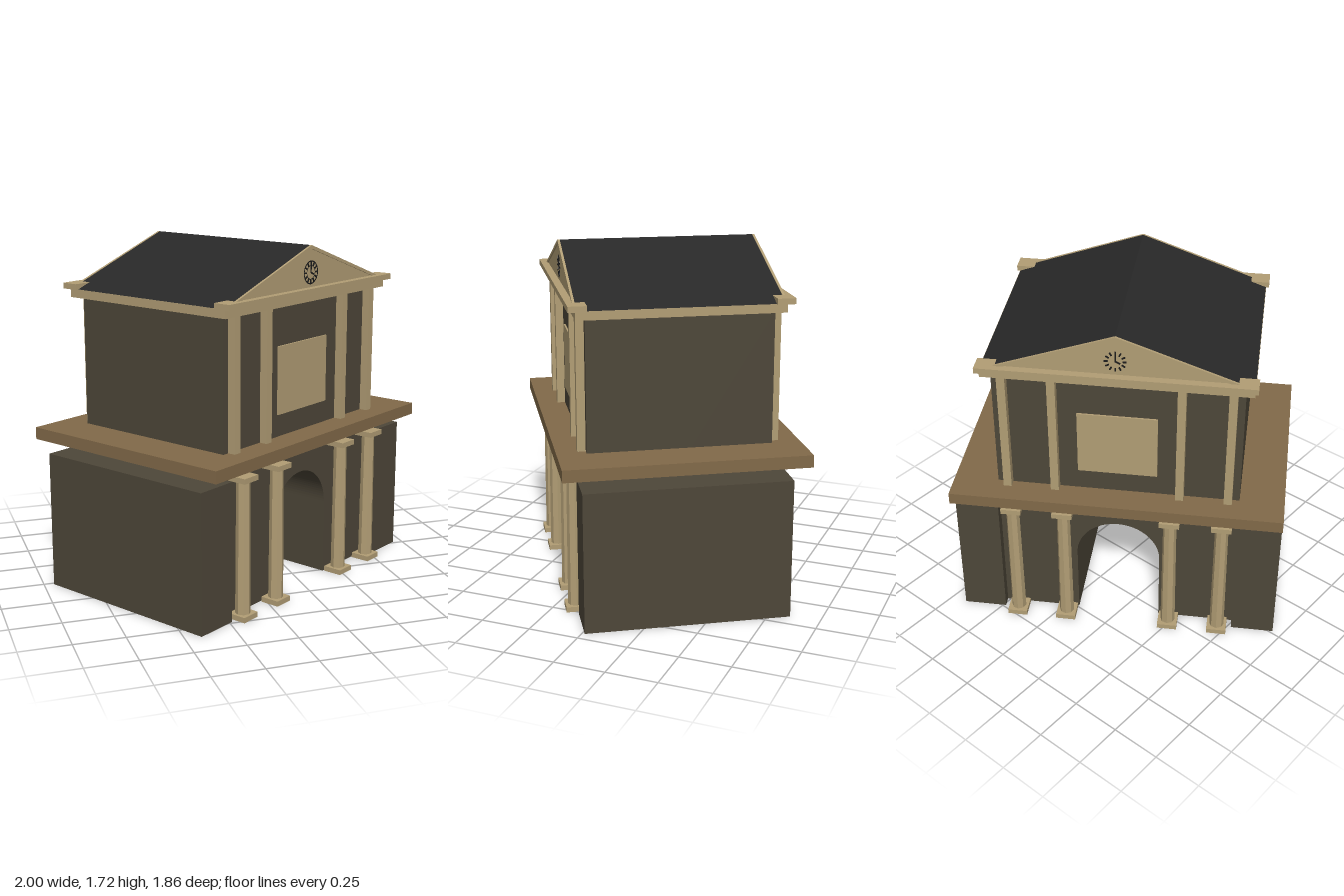
import * as THREE from 'three';

const mat = (name, color) => {
  const m = new THREE.MeshStandardMaterial({ color });
  m.name = name;
  return m;
};

export function createModel() {
  const wall = mat('dark wall', 0x4e4739);
  const stone = mat('tan stone', 0xb29e75);
  const ledge = mat('brown ledge', 0x826a49);
  const slate = mat('slate roof', 0x282828);
  const black = mat('clock black', 0x1b1b1b);

  const model = new THREE.Group();
  model.name = 'gatehouse';
  const building = new THREE.Group();
  building.name = 'building';
  building.rotation.y = 0.564; // the building stands at an angle to the axes
  model.add(building);

  const add = (parent, name, geo, material, x = 0, y = 0, z = 0) => {
    const m = new THREE.Mesh(geo, material);
    m.name = name;
    m.position.set(x, y, z);
    parent.add(m);
    return m;
  };
  // Box given by its size, its underside height and its centre
  const box = (parent, name, material, w, h, d, x, y, z) =>
    add(parent, name, new THREE.BoxGeometry(w, h, d), material, x, y + h / 2, z);
  const extrude = (shape, depth) =>
    new THREE.ExtrudeGeometry(shape, { depth, bevelEnabled: false, curveSegments: 24 });
  const triangle = (halfW, y0, y1, Type = THREE.Shape) => {
    const s = new Type();
    s.moveTo(-halfW, y0);
    s.lineTo(halfW, y0);
    s.lineTo(0, y1);
    s.closePath();
    return s;
  };

  // Main body with the arched passage running through it
  const body = new THREE.Shape();
  body.moveTo(-0.595, 0);
  body.lineTo(-0.21, 0);
  body.lineTo(-0.21, 0.38);
  body.absarc(0, 0.38, 0.21, Math.PI, 0, true);
  body.lineTo(0.21, 0);
  body.lineTo(0.595, 0);
  body.lineTo(0.595, 1.45);
  body.lineTo(-0.595, 1.45);
  body.closePath();
  add(building, 'mainBody', extrude(body, 0.89), wall, 0, 0, -0.445);

  // Side wings and the broad ledge above them
  for (const s of [-1, 1]) box(building, 'wing', wall, 0.216, 0.69, 0.992, s * 0.703, 0, 0);
  box(building, 'ledge', ledge, 1.626, 0.06, 1.172, 0, 0.75, 0);

  // Entablature and roof
  box(building, 'entablature', stone, 1.272, 0.042, 0.984, 0, 1.45, 0);
  add(building, 'roof', extrude(triangle(0.635, 1.492, 1.72), 0.97), slate, 0, 0, -0.485);

  // Each gable end carries the same set of parts
  for (const side of ['front', 'back']) {
    const face = new THREE.Group();
    face.name = side + 'Face';
    if (side === 'back') face.rotation.y = Math.PI;
    building.add(face);

    // Lower columns
    for (const x of [-0.52, -0.265, 0.265, 0.52]) {
      const column = new THREE.Group();
      column.name = 'column';
      column.position.set(x, 0, 0.502);
      face.add(column);
      box(column, 'columnBase', stone, 0.1, 0.026, 0.1, 0, 0, 0);
      const shaft = new THREE.CylinderGeometry(0.033, 0.037, 0.66, 8).toNonIndexed();
      shaft.computeVertexNormals();
      add(column, 'columnShaft', shaft, stone, 0, 0.355, 0);
      box(column, 'columnCapital', stone, 0.1, 0.026, 0.1, 0, 0.682, 0);
    }

    // Upper pilasters and blank window panel
    for (const x of [-0.54, -0.305, 0.305, 0.54])
      box(face, 'pilaster', stone, 0.04, 0.64, 0.04, x, 0.81, 0.465);
    box(face, 'windowPanel', stone, 0.386, 0.335, 0.009, 0, 0.92, 0.4495);

    // Cornice, tympanum and raking frame
    box(face, 'cornice', stone, 1.302, 0.028, 0.088, 0, 1.491, 0.484);
    add(face, 'tympanum', extrude(triangle(0.6, 1.505, 1.712), 0.006), stone, 0, 0, 0.485);
    const rake = triangle(0.62, 1.5, 1.72);
    rake.holes.push(triangle(0.535, 1.515, 1.703, THREE.Path));
    add(face, 'rakingFrame', extrude(rake, 0.012), stone, 0, 0, 0.485);

    // Clock
    const clock = new THREE.Group();
    clock.name = 'clock';
    clock.position.set(0, 1.59, 0.493);
    face.add(clock);
    if (side === 'front') {
      add(clock, 'clockRim', new THREE.RingGeometry(0.051, 0.057, 32), black);
      add(clock, 'clockInnerRing', new THREE.RingGeometry(0.031, 0.034, 32), black);
    }
    for (let i = 0; i < 12; i++) {
      const a = (i * Math.PI) / 6;
      const tick = add(clock, 'hourMark', new THREE.BoxGeometry(0.007, 0.018, 0.004), black,
        Math.sin(a) * 0.043, Math.cos(a) * 0.043, 0);
      tick.rotation.z = -a;
    }
    add(clock, 'minuteHand', new THREE.BoxGeometry(0.006, 0.036, 0.004), black, 0, 0.016, 0);
    const hourHand = add(clock, 'hourHand', new THREE.BoxGeometry(0.026, 0.007, 0.004), black, 0.011, -0.005, 0);
    hourHand.rotation.z = -0.45;
  }

  return model;
}
